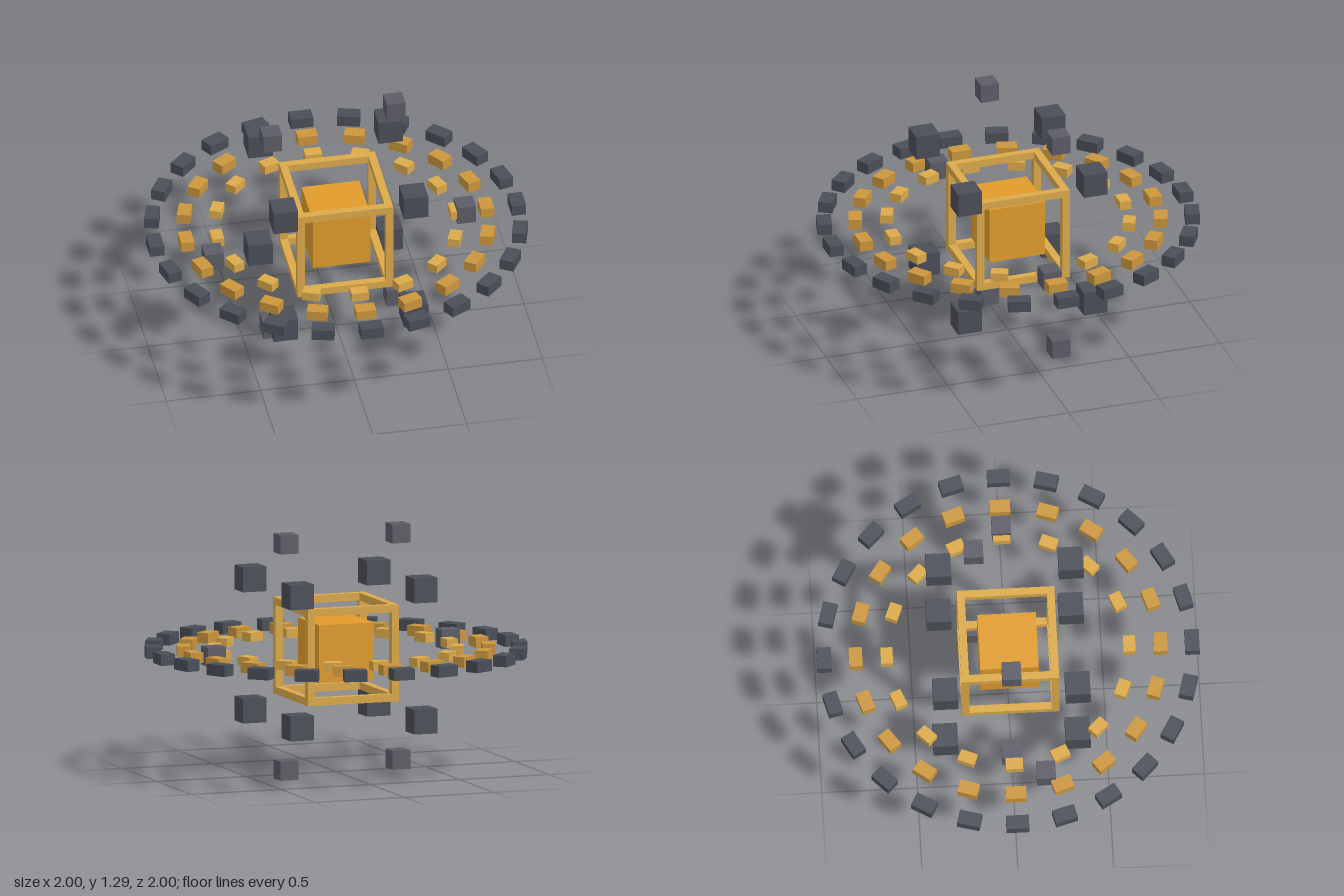
import * as THREE from 'three';

const CENTER_Y = 0.647;

const material = (color) => new THREE.MeshStandardMaterial({ color, flatShading: true });

function addBox(parent, name, size, position, mat) {
  const mesh = new THREE.Mesh(new THREE.BoxGeometry(...size), mat);
  mesh.name = name;
  mesh.position.set(...position);
  parent.add(mesh);
  return mesh;
}

// Ring of tiles, each turned to lie along the circle
function tileRing(name, count, radius, size, mat) {
  const ring = new THREE.Group();
  ring.name = name;
  for (let i = 0; i < count; i++) {
    const a = (i / count) * Math.PI * 2;
    const tile = addBox(ring, name + 'Tile', size, [Math.sin(a) * radius, 0, Math.cos(a) * radius], mat);
    tile.rotation.y = a;
  }
  return ring;
}

// Open cube frame made of twelve square bars
function cubeFrame(outer, bar, mat) {
  const frame = new THREE.Group();
  frame.name = 'cubeFrame';
  const o = (outer - bar) / 2;
  const inner = outer - 2 * bar;
  for (const s of [-1, 1]) {
    for (const t of [-1, 1]) {
      addBox(frame, 'frameBarX', [outer, bar, bar], [0, s * o, t * o], mat);
      addBox(frame, 'frameBarY', [bar, inner, bar], [s * o, 0, t * o], mat);
      addBox(frame, 'frameBarZ', [bar, bar, inner], [s * o, t * o, 0], mat);
    }
  }
  return frame;
}

export function createModel() {
  const model = new THREE.Group();
  model.name = 'floatingCore';
  const body = new THREE.Group();
  body.name = 'body';
  body.position.y = CENTER_Y;
  model.add(body);

  const coreGold = material(0xe09b2b);
  const frameGold = material(0xdba94a);
  const ringGold = material(0xcb953c);
  const ringDark = material(0x494e58);
  const cubeDark = material(0x4b4e58);
  const smallDark = material(0x5b5c67);

  // Core and the frame around it
  addBox(body, 'core', [0.306, 0.306, 0.306], [0, 0, 0], coreGold);
  body.add(cubeFrame(0.51, 0.04, frameGold));

  // Three flat rings of tiles
  body.add(tileRing('outerRing', 24, 0.962, [0.12, 0.06, 0.076], ringDark));
  body.add(tileRing('middleRing', 20, 0.797, [0.106, 0.055, 0.07], ringGold));
  body.add(tileRing('innerRing', 16, 0.634, [0.09, 0.048, 0.063], frameGold));

  // Large cubes off the eight frame corners
  const c = 0.346;
  for (const x of [-c, c]) for (const y of [-c, c]) for (const z of [-c, c]) {
    addBox(body, 'cornerCube', [0.13, 0.13, 0.13], [x, y, z], cubeDark);
  }

  // Small cubes above, below and at the sides
  const small = [0.1, 0.1, 0.1];
  for (const y of [-0.597, 0.597]) {
    addBox(body, 'smallCube', small, [-0.346, y, 0], smallDark);
    addBox(body, 'smallCube', small, [0.342, y, -0.163], smallDark);
  }
  addBox(body, 'smallCube', small, [0.685, 0, 0], smallDark);
  addBox(body, 'smallCube', small, [-0.687, 0, 0.163], smallDark);

  return model;
}
